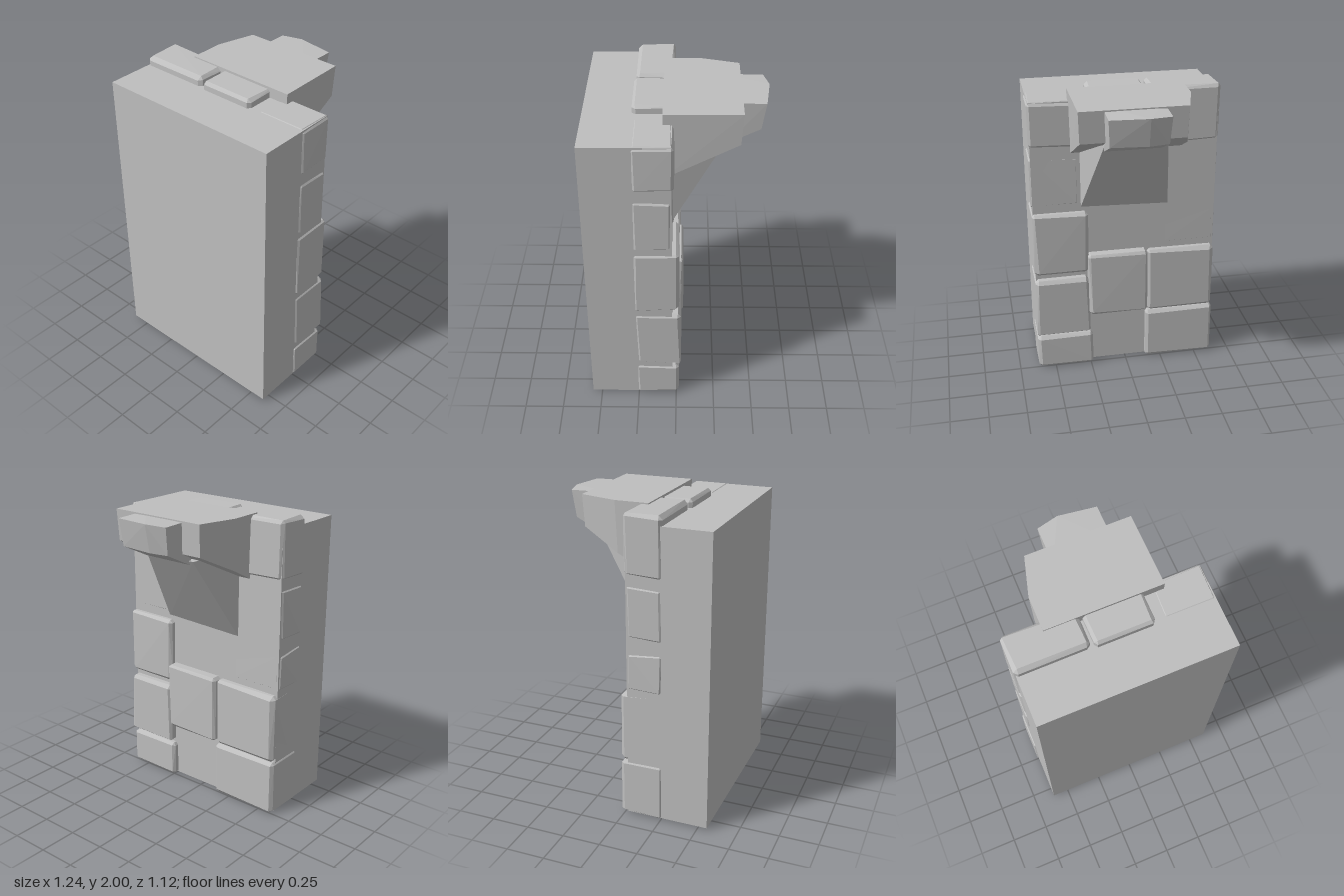
import * as THREE from 'three';
import { ConvexGeometry } from 'three/addons/geometries/ConvexGeometry.js';

export function createModel() {
  const model = new THREE.Group();
  const stone = new THREE.MeshStandardMaterial({ color: 0xbfbfbf });
  stone.name = 'grey stone';

  let seed = 7;
  const rand = () => {
    seed = (seed * 16807) % 2147483647;
    return seed / 2147483647;
  };

  const add = (name, geometry) => {
    const mesh = new THREE.Mesh(geometry, stone);
    mesh.name = name;
    model.add(mesh);
  };
  const hull = (name, points) =>
    add(name, new ConvexGeometry(points.map((p) => new THREE.Vector3(...p))));

  // Rough-hewn block: each corner of the box becomes three slightly uneven points
  const hewnStone = (name, [x0, x1], [y0, y1], [z0, z1]) => {
    const lo = [x0, y0, z0];
    const hi = [x1, y1, z1];
    const points = [];
    for (let corner = 0; corner < 8; corner++) {
      const bevel = 0.014 + rand() * 0.012;
      for (let face = 0; face < 3; face++) {
        points.push(lo.map((l, axis) => {
          const atHigh = (corner >> axis) & 1;
          const inset = axis === face ? rand() * 0.004 : bevel * (0.8 + rand() * 0.5);
          return atHigh ? hi[axis] - inset : l + inset;
        }));
      }
    }
    hull(name, points);
  };

  // Plain wall body
  const wall = new THREE.BoxGeometry(1.22, 1.915, 0.535);
  wall.translate(0, 0.9725, 0.2925);
  add('wall', wall);

  // Quoins up the left edge, wrapping round to the back
  [
    [0.28, 1.63, 1.935, 0.01],
    [0.3, 1.21, 1.57, 0.022],
    [0.25, 0.73, 1.18, -0.02],
    [0.25, 0.27, 0.7, -0.034],
    [0.23, 0, 0.255, -0.02],
  ].forEach(([x, y0, y1, z]) => hewnStone('leftQuoin', [x, 0.62], [y0, y1], [z, 0.262]));

  // Quoins up the right edge
  [
    [-0.16, 1.61, 1.99, 0.012],
    [-0.25, 1.22, 1.56, 0.024],
    [-0.25, 0.88, 1.14, 0.024],
    [-0.14, 0.005, 0.385, -0.025],
  ].forEach(([x, y0, y1, z]) => hewnStone('rightQuoin', [-0.62, x], [y0, y1], [z, 0.257]));

  // Stones set into the back face and the top edge
  hewnStone('middleBackStone', [-0.15, 0.26], [0.4, 0.87], [-0.045, 0.2]);
  hewnStone('rightBackStone', [-0.612, -0.15], [0.39, 0.86], [-0.026, 0.2]);
  hewnStone('topStone', [-0.145, 0.23], [1.65, 1.985], [0.008, 0.265]);

  // Projecting slab: flat top, underside sloping down to the wall
  const plan = [[-0.38, 0.08], [0.36, 0.08], [0.355, -0.39], [-0.31, -0.39], [-0.38, -0.14]];
  hull('slab', plan.flatMap(([x, z]) => [
    [x, 1.998, z],
    [x * 0.98, 1.59 - (z - 0.02) * 0.5, z < 0 ? z + 0.012 : z],
  ]));

  // Smaller block pushed out beyond the slab
  hull('projectingBlock', [
    [-0.175, 1.985, -0.53], [-0.04, 1.99, -0.56], [0.2, 1.985, -0.53],
    [-0.165, 1.81, -0.505], [-0.04, 1.81, -0.525], [0.19, 1.81, -0.505],
    [-0.175, 1.99, -0.28], [0.2, 1.99, -0.28],
    [-0.165, 1.71, -0.3], [0.19, 1.71, -0.3],
  ]);

  // Tapered bracket under the slab
  hull('bracket', [
    [0.295, 1.2, 0.03], [-0.29, 1.18, 0.03],
    [0.19, 1.74, -0.305], [-0.2, 1.74, -0.32],
    [0.295, 1.75, 0.03], [-0.29, 1.75, 0.03],
  ]);

  return model;
}
